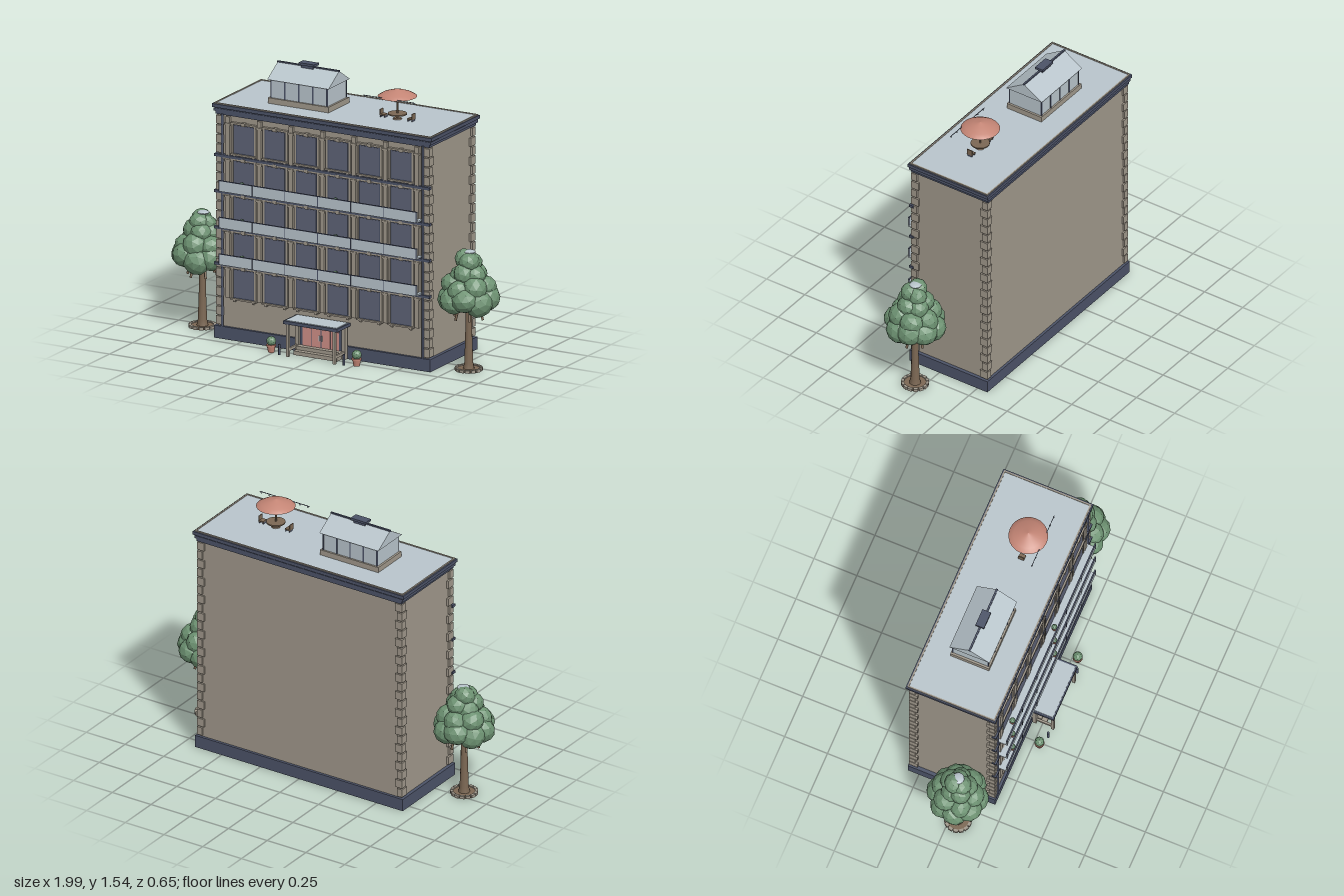
import * as THREE from 'three';

const paint = (name, color, flatShading = false) => {
  const m = new THREE.MeshStandardMaterial({ color, flatShading });
  m.name = name;
  return m;
};

export function createModel() {
  const stone = paint('stone', 0xa0988b);
  const slate = paint('slate', 0x4c5368);
  const glass = paint('windowGlass', 0x5e6377);
  const pale = paint('paleGlass', 0xb9c5cc);
  const pink = paint('doorPink', 0xcf9088);
  const clay = paint('terracotta', 0xc48575);
  const wood = paint('wood', 0x7c6854);
  const green = paint('leaves', 0x6d9272, true);
  green.flatShading = true;
  const root = new THREE.Group();
  root.name = 'apartmentBuilding';

  const group = (name, parent = root) => {
    const g = new THREE.Group();
    g.name = name;
    parent.add(g);
    return g;
  };
  const put = (parent, name, geo, mat, x, y, z) => {
    const m = new THREE.Mesh(geo, mat);
    m.name = name;
    m.position.set(x, y, z);
    parent.add(m);
    return m;
  };
  // Box given by its centre in x, z and its bottom and top in y
  const box = (parent, name, mat, x, z, w, d, y0, y1) =>
    put(parent, name, new THREE.BoxGeometry(w, y1 - y0, d), mat, x, (y0 + y1) / 2, z);
  const rod = (parent, name, mat, x, z, rTop, rBot, y0, y1, n = 10) =>
    put(parent, name, new THREE.CylinderGeometry(rTop, rBot, y1 - y0, n), mat, x, (y0 + y1) / 2, z);

  // Main block, plinth, cornice and roof
  const shell = group('shell');
  box(shell, 'walls', stone, 0, -0.06, 1.3, 0.48, 0.03, 1.28);
  box(shell, 'plinth', slate, 0, -0.06, 1.34, 0.51, 0, 0.07);
  box(shell, 'corniceLower', slate, 0, -0.062, 1.325, 0.505, 1.255, 1.272);
  box(shell, 'corniceMiddle', slate, 0, -0.062, 1.345, 0.515, 1.272, 1.288);
  box(shell, 'corniceUpper', slate, 0, -0.062, 1.36, 0.525, 1.293, 1.312);
  box(shell, 'corniceNeck', slate, 0, -0.062, 1.33, 0.505, 1.285, 1.3);
  box(shell, 'roofDeck', pale, 0, -0.062, 1.33, 0.496, 1.3, 1.314);
  for (const s of [-1, 1]) {
    box(shell, 'copingSide', stone, s * 0.668, -0.062, 0.008, 0.51, 1.3, 1.318);
    box(shell, 'copingLong', stone, 0, -0.062 + s * 0.251, 1.34, 0.008, 1.3, 1.318);
  }

  // Alternating corner stones
  const quoins = group('cornerStones');
  for (let i = 0; i < 22; i++) {
    const y = 0.078 + i * 0.0535;
    const [lx, lz] = i % 2 ? [0.045, 0.035] : [0.032, 0.048];
    for (const s of [-1, 1]) {
      box(quoins, 'cornerStone', stone, s * (0.662 - lx / 2), 0.19 - lz / 2, lx, lz, y, y + 0.046);
      box(quoins, 'cornerStone', stone, s * (0.662 - lx / 2), -0.31 + lz / 2, lx, lz, y, y + 0.046);
    }
  }

  // Facade: bands, pilasters and drainpipes
  const facade = group('facade');
  for (let r = 0; r < 4; r++) {
    const y = 0.42 + r * 0.2025;
    box(facade, 'floorBand', slate, 0, 0.187, 1.335, 0.026, y - 0.008, y + 0.007);
    box(facade, 'bandMoulding', stone, 0, 0.186, 1.31, 0.016, y - 0.018, y - 0.008);
  }
  for (let c = -3; c <= 3; c++) {
    const x = c * 0.195;
    box(facade, 'pilaster', stone, x, 0.185, 0.024, 0.022, 0.235, 1.25);
    for (let r = 0; r < 5; r++) {
      const y = 0.405 + r * 0.2025;
      box(facade, 'pilasterCapital', stone, x, 0.186, 0.036, 0.03, y - 0.012, y);
    }
  }
  for (const s of [-1, 1]) rod(facade, 'drainpipe', slate, s * 0.622, 0.19, 0.007, 0.007, 0.07, 1.26, 8);

  // Windows, five rows of six
  const windows = group('windows');
  for (let r = 0; r < 5; r++) {
    for (let c = 0; c < 6; c++) {
      const x = (c - 2.5) * 0.195, y = 0.24 + r * 0.2025, z = 0.184;
      const w = group('window', windows);
      box(w, 'windowFrame', slate, x, z, 0.134, 0.012, y - 0.003, y + 0.165);
      box(w, 'pane', glass, x, z + 0.006, 0.118, 0.004, y + 0.005, y + 0.157);
      for (const s of [-1, 1]) {
        box(w, 'jamb', stone, x + s * 0.072, z + 0.001, 0.012, 0.018, y, y + 0.165);
        box(w, 'sillBracket', stone, x + s * 0.058, z + 0.004, 0.012, 0.016, y - 0.022, y - 0.01);
      }
      box(w, 'lintel', stone, x, z + 0.002, 0.158, 0.024, y + 0.162, y + 0.172);
      box(w, 'keystone', stone, x, z + 0.004, 0.022, 0.026, y + 0.158, y + 0.177);
      box(w, 'sill', stone, x, z + 0.004, 0.158, 0.026, y - 0.011, y - 0.002);
    }
  }

  // Potted shrub used on balconies and beside the door
  const shrub = (parent, x, y, z, k) => {
    const g = group('pottedShrub', parent);
    rod(g, 'pot', clay, x, z, 0.024 * k, 0.017 * k, y, y + 0.038 * k, 12);
    rod(g, 'potRim', clay, x, z, 0.027 * k, 0.027 * k, y + 0.034 * k, y + 0.043 * k, 12);
    put(g, 'shrub', new THREE.IcosahedronGeometry(0.027 * k, 1), green, x, y + 0.062 * k, z);
  };

  // Three full-width balconies
  for (let r = 0; r < 3; r++) {
    const y = 0.433 + r * 0.2055, b = group('balcony');
    box(b, 'balconySlab', pale, 0, 0.213, 1.23, 0.058, y - 0.004, y + 0.004);
    box(b, 'balconyPanel', pale, 0, 0.239, 1.23, 0.006, y, y + 0.054);
    box(b, 'handrail', slate, 0, 0.239, 1.23, 0.008, y + 0.053, y + 0.057);
    for (let c = -3; c <= 3; c++) box(b, 'railPost', slate, c * 0.2035, 0.24, 0.004, 0.009, y - 0.004, y + 0.055);
    shrub(b, -0.485, y + 0.004, 0.218, 0.6);
    shrub(b, 0.095, y + 0.004, 0.218, 0.6);
  }

  // Entrance with canopy, doors and steps
  const entry = group('entrance');
  box(entry, 'canopyFrame', slate, 0, 0.253, 0.335, 0.142, 0.182, 0.2);
  box(entry, 'canopyTop', pale, 0, 0.253, 0.315, 0.126, 0.197, 0.203);
  box(entry, 'step', stone, 0, 0.235, 0.27, 0.07, 0, 0.022);
  box(entry, 'landing', stone, 0, 0.215, 0.27, 0.05, 0, 0.042);
  box(entry, 'doorFrame', slate, 0, 0.196, 0.26, 0.018, 0.02, 0.184);
  for (const s of [-1, 1]) {
    box(entry, 'canopyPost', stone, s * 0.145, 0.312, 0.016, 0.016, 0, 0.183);
    box(entry, 'wallPost', stone, s * 0.145, 0.205, 0.022, 0.026, 0, 0.183);
    box(entry, 'sideRail', stone, s * 0.145, 0.26, 0.012, 0.1, 0.03, 0.045);
    box(entry, 'doorLeaf', pink, s * 0.03, 0.206, 0.054, 0.006, 0.042, 0.143);
    box(entry, 'sideLight', pink, s * 0.087, 0.206, 0.05, 0.006, 0.042, 0.143);
    box(entry, 'transom', pink, s * 0.058, 0.206, 0.11, 0.006, 0.149, 0.176);
    box(entry, 'doorHandle', pale, s * 0.008, 0.212, 0.004, 0.006, 0.08, 0.11);
    rod(entry, 'bollard', slate, s * 0.2, 0.307, 0.007, 0.007, 0, 0.06, 8);
    shrub(entry, s * 0.265, 0, 0.283, 1);
  }

  // Rooftop glasshouse
  const house = group('glasshouse');
  const hx = -0.23, hz = -0.06;
  box(house, 'glasshouseBase', stone, hx, hz, 0.376, 0.226, 1.312, 1.345);
  box(house, 'glasshouseWalls', pale, hx, hz, 0.352, 0.206, 1.345, 1.45);
  for (let i = 0; i < 5; i++) for (const s of [-1, 1])
    box(house, 'mullion', slate, hx + (i - 2) * 0.0865, hz + s * 0.103, 0.007, 0.007, 1.345, 1.45);
  const gable = new THREE.Shape([[-0.117, 1.447], [0.117, 1.447], [0, 1.52]].map(p => new THREE.Vector2(...p)));
  const gableGeo = new THREE.ExtrudeGeometry(gable, { depth: 0.38, bevelEnabled: false });
  gableGeo.translate(0, 0, -0.19).rotateY(-Math.PI / 2);
  put(house, 'glasshouseRoof', gableGeo, pale, hx, 0, hz);
  box(house, 'ridge', slate, hx, hz, 0.385, 0.01, 1.514, 1.524);
  box(house, 'ridgeVentNeck', slate, hx, hz, 0.075, 0.03, 1.51, 1.53);
  box(house, 'ridgeVent', slate, hx, hz, 0.098, 0.05, 1.527, 1.54);

  // Roof terrace: parasol, table, chairs and string of lamps
  const terrace = group('terrace');
  const px = 0.335, pz = -0.035;
  const canopy = [[0.001, 1.483], [0.04, 1.472], [0.08, 1.458], [0.107, 1.442], [0.1, 1.441], [0.04, 1.463], [0.001, 1.474]];
  const canopyGeo = new THREE.LatheGeometry(canopy.map(p => new THREE.Vector2(...p)).reverse(), 24);
  put(terrace, 'parasol', canopyGeo, clay, px, 0, pz);
  rod(terrace, 'parasolPole', wood, px, pz, 0.005, 0.005, 1.312, 1.48, 8);
  rod(terrace, 'tableTop', wood, px, pz, 0.052, 0.052, 1.34, 1.347, 20);
  rod(terrace, 'tableFoot', wood, px, pz, 0.022, 0.026, 1.312, 1.32, 12);
  for (const s of [-1, 1]) {
    box(terrace, 'chairSeat', wood, px + s * 0.085, pz, 0.03, 0.034, 1.324, 1.331);
    box(terrace, 'chairBack', wood, px + s * 0.099, pz, 0.005, 0.034, 1.324, 1.357);
    for (const t of [-1, 1]) box(terrace, 'chairLegs', slate, px + s * 0.085 + t * 0.012, pz, 0.004, 0.03, 1.312, 1.325);
  }
  box(terrace, 'lampString', slate, px, 0.05, 0.32, 0.003, 1.444, 1.447);
  for (let i = 0; i < 7; i++)
    put(terrace, 'lamp', new THREE.SphereGeometry(0.005, 8, 6), pale, px + (i - 3) * 0.05, 1.44, 0.05);

  // Street trees with faceted leaf clumps
  const tree = (x, z, top, spin) => {
    const t = group('tree');
    t.position.set(x, 0, z);
    t.rotation.y = spin;
    rod(t, 'treePit', wood, 0, 0, 0.068, 0.068, 0, 0.01, 20);
    for (let i = 0; i < 14; i++) {
      const a = i * Math.PI / 7;
      const b = box(t, 'edgingStone', stone, Math.cos(a) * 0.067, Math.sin(a) * 0.067, 0.016, 0.025, 0, 0.016);
      b.rotation.y = -a;
    }
    const trunk = [[0.034, 0], [0.025, 0.04], [0.02, 0.18], [0.015, 0.45]].map(p => new THREE.Vector2(...p));
    put(t, 'trunk', new THREE.LatheGeometry(trunk, 10), wood, 0, 0, 0);
    for (let i = 0; i < 6; i++) {
      const a = i * Math.PI / 3, c = Math.cos(a), s = Math.sin(a);
      const path = new THREE.LineCurve3(new THREE.Vector3(c * 0.085, 0.29, s * 0.085), new THREE.Vector3(c * 0.06, 0.38, s * 0.06));
      put(t, 'branch', new THREE.TubeGeometry(path, 1, 0.007, 6), wood, 0, 0, 0);
    }
    // Rings of clumps: height, ring radius, clump radius, count
    [[0.405, 0.098, 0.077, 8], [0.47, 0.085, 0.068, 6], [0.54, 0.045, 0.062, 5], [top - 0.06, 0.022, 0.058, 3], [0.42, 0, 0.1, 1]]
      .forEach(([y, ring, size, n], k) => {
        for (let i = 0; i < n; i++) {
          const a = i * 2 * Math.PI / n + k * 0.7;
          const m = put(t, 'leafClump', new THREE.IcosahedronGeometry(size, 1), green,
            Math.cos(a) * ring, y + 0.014 * Math.sin(i * 2.4), Math.sin(a) * ring);
          m.scale.y = 0.9;
          m.rotation.set(i, k + i * 0.8, 0);
        }
      });
    const tip = put(t, 'paleLeafTip', new THREE.IcosahedronGeometry(0.034, 1), pale, 0.005, top - 0.008, 0);
    tip.scale.y = 0.3;
  };
  tree(-0.828, 0.045, 0.65, 0.2);
  tree(0.826, 0.05, 0.67, 1.1);
  return root;
}
